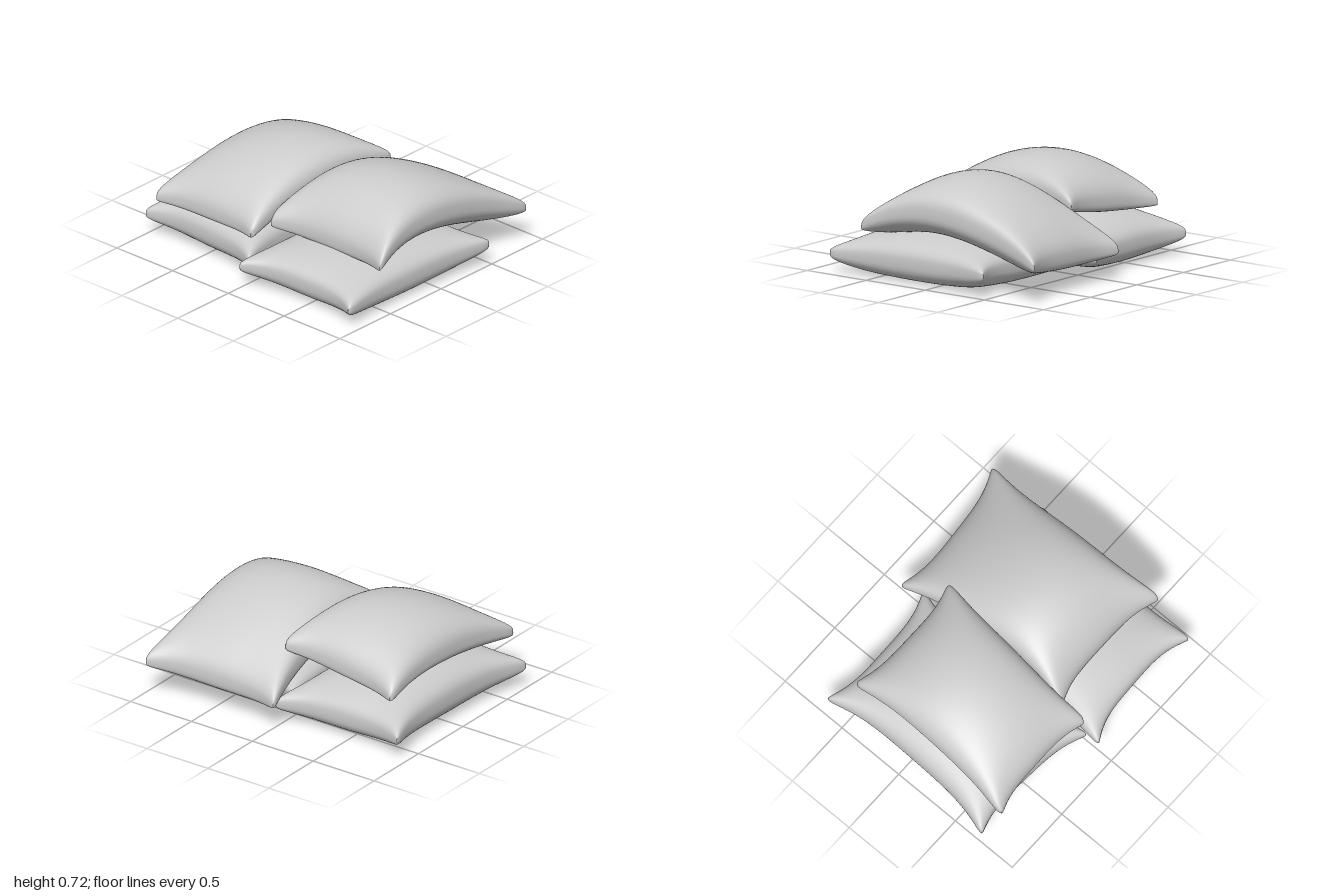
import * as THREE from 'three';
import { mergeGeometries, mergeVertices } from 'three/addons/utils/BufferGeometryUtils.js';

const SEG = 44;
const lerp = THREE.MathUtils.lerp;

// Each pillow: four corner tips [x, y, z] (back -x, back +x, front -x, front +x),
// edge pinch, drape and padding.
const PILLOWS = [
  { name: 'frontLowerPillow',
    corners: [[-0.935, 0.16, -0.04], [0.59, 0.14, -0.03], [-0.895, 0.135, 0.985], [0.525, 0.16, 1.035]],
    pinch: [0.13, 0.07], arch: 0, skew: 0, up: 0.185, down: 0.22 },
  { name: 'frontUpperPillow',
    corners: [[-0.615, 0.36, -0.05], [0.855, 0.2, -0.08], [-0.61, 0.35, 1.01], [0.93, 0.26, 1.0]],
    pinch: [0.11, 0.09], arch: 0.175, skew: -0.07, up: 0.23, down: 0.2 },
  { name: 'backLowerPillow',
    corners: [[-0.765, 0.16, -1.035], [0.71, 0.15, -0.99], [-0.83, 0.15, 0.03], [0.73, 0.14, 0.08]],
    pinch: [0.11, 0.115], arch: 0.02, skew: 0, up: 0.215, down: 0.22 },
  { name: 'backUpperPillow',
    corners: [[-0.815, 0.34, -0.89], [0.585, 0.36, -0.84], [-0.805, 0.34, 0.03], [0.55, 0.48, 0.125]],
    pinch: [0.09, 0.06], arch: 0.1, skew: 0.02, up: 0.24, down: 0.14 },
];

// Top and bottom sheets share a rim, so welding them gives one smooth cushion.
function pillowGeometry({ corners: [bl, br, fl, fr], pinch, arch, skew, up, down }) {
  const sheet = (side) => {
    const g = new THREE.PlaneGeometry(2, 2, SEG, SEG).rotateX(-side * Math.PI / 2);
    g.deleteAttribute('uv');
    g.deleteAttribute('normal');
    const p = g.attributes.position;
    for (let i = 0; i < p.count; i++) {
      // finer spacing towards the rim
      const u = Math.sin(p.getX(i) * Math.PI / 2);
      const v = Math.sin(p.getZ(i) * Math.PI / 2);
      const at = (k) => lerp(lerp(bl[k], br[k], (u + 1) / 2), lerp(fl[k], fr[k], (u + 1) / 2), (v + 1) / 2);

      // edges drawn in between the tips, tips rounded off
      const round = 0.045 * Math.abs(u * v) ** 14;
      const x = at(0) - u * (pinch[0] * (1 - Math.abs(v) ** 3.5) + round);
      const z = at(2) - v * (pinch[1] * (1 - Math.abs(u) ** 3.5) + round);

      // draped middle layer plus padding
      const fill = Math.max(0, (1 - u * u) * (1 - v * v)) ** 0.36;
      const mid = at(1) + arch * (1 - u * u) + skew * (u - u ** 3);
      const y = mid + (side > 0 ? up : -down) * fill;

      // flattened softly where it rests on the floor
      p.setXYZ(i, x, (y + Math.sqrt(y * y + 0.0012)) / 2, z);
    }
    return g;
  };
  const g = mergeVertices(mergeGeometries([sheet(1), sheet(-1)]), 1e-5);
  g.computeVertexNormals();
  return g;
}

export function createModel() {
  const group = new THREE.Group();
  group.name = 'pillowPile';
  const material = new THREE.MeshStandardMaterial({ color: 0xcccccc });
  for (const spec of PILLOWS) {
    const mesh = new THREE.Mesh(pillowGeometry(spec), material);
    mesh.name = spec.name;
    group.add(mesh);
  }
  return group;
}
